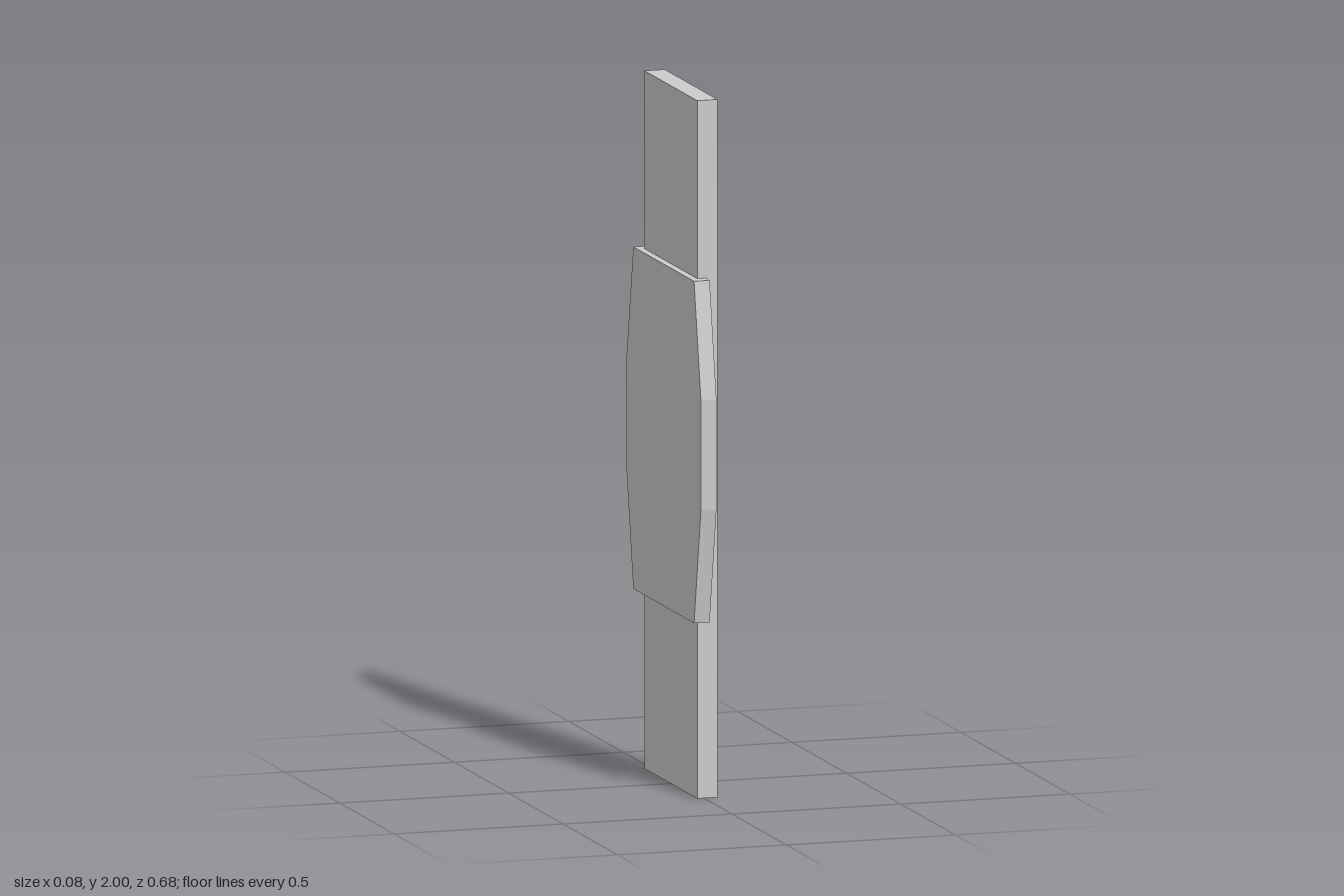
import * as THREE from 'three';

const material = new THREE.MeshStandardMaterial({ color: 0xcccccc, flatShading: true });

// Extrudes an outline drawn in the side plane from x0 to x1
function slab(name, points, x0, x1, hole) {
  const toVectors = (list) => list.map(([z, y]) => new THREE.Vector2(z, y));
  const shape = new THREE.Shape(toVectors(points));
  if (hole) shape.holes.push(new THREE.Path(toVectors(hole)));
  const geometry = new THREE.ExtrudeGeometry(shape, { depth: x1 - x0, bevelEnabled: false });
  geometry.rotateY(Math.PI / 2);
  geometry.translate(x0, 0, 0);
  const mesh = new THREE.Mesh(geometry, material);
  mesh.name = name;
  return mesh;
}

// Shallow tray open towards +x: a solid back with a raised rim
function tray(name, outer, inner, back, floor, front) {
  const group = new THREE.Group();
  group.name = name;
  group.add(slab(name + 'Back', outer, back, floor));
  group.add(slab(name + 'Rim', outer, floor, front, inner));
  return group;
}

const rectangle = (z, y0, y1) => [[-z, y0], [z, y0], [z, y1], [-z, y1]];

// Eight-sided outline: narrow at the ends, wide in the middle
const octagon = (zEnd, zMid, y0, y1, y2, y3) => [
  [-zEnd, y0], [zEnd, y0], [zMid, y1], [zMid, y2],
  [zEnd, y3], [-zEnd, y3], [-zMid, y2], [-zMid, y1],
];

export function createModel() {
  const model = new THREE.Group();
  model.name = 'doorPanel';

  // Tall panel with a recessed face
  model.add(tray('tallPanel', rectangle(0.243, 0, 2), rectangle(0.224, 0.022, 1.979), -0.02, 0.02, 0.04));

  // Wide bracket plate behind it
  model.add(tray('backPlate',
    octagon(0.279, 0.342, 0.51, 0.845, 1.16, 1.49),
    octagon(0.255, 0.315, 0.547, 0.86, 1.15, 1.455),
    -0.041, -0.018, 0.005));

  return model;
}
